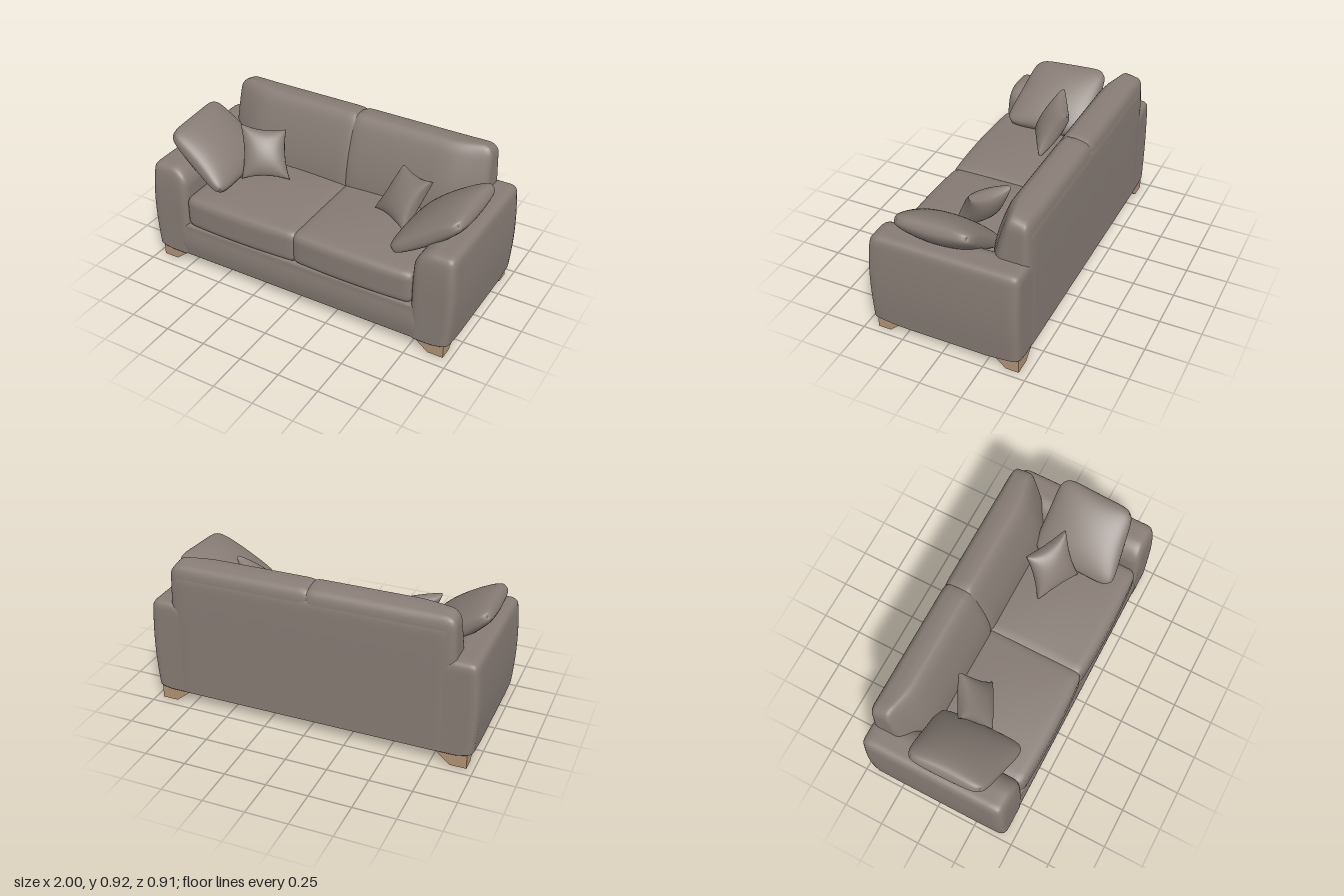
import * as THREE from 'three';
import { mergeVertices } from 'three/addons/utils/BufferGeometryUtils.js';

const clamp = THREE.MathUtils.clamp;
const smooth = THREE.MathUtils.smoothstep;

// Move every vertex by a rule, weld, and recompute smooth normals
function reshape(geo, rule) {
  const pos = geo.attributes.position, p = new THREE.Vector3();
  for (let i = 0; i < pos.count; i++) {
    p.fromBufferAttribute(pos, i);
    rule(p);
    pos.setXYZ(i, p.x, p.y, p.z);
  }
  geo.deleteAttribute('uv');
  geo.deleteAttribute('normal');
  const out = mergeVertices(geo, 1e-5);
  out.computeVertexNormals();
  return out;
}

// Upholstered block between two corners; rounded by r, optionally flat at the bottom
function softBox(min, max, r, { flatBottom = false, rule = () => {} } = {}) {
  const lo = new THREE.Vector3(...min), hi = new THREE.Vector3(...max);
  const size = hi.clone().sub(lo), mid = lo.clone().add(hi).multiplyScalar(0.5);
  const inLo = lo.clone().addScalar(r), inHi = hi.clone().addScalar(-r);
  if (flatBottom) inLo.y = lo.y;
  const n = 20, q = new THREE.Vector3(), d = new THREE.Vector3();
  return reshape(new THREE.BoxGeometry(2, 2, 2, n, n, n), (p) => {
    for (const k of ['x', 'y', 'z']) p[k] = mid[k] + Math.sin(p[k] * Math.PI / 2) * size[k] / 2;
    q.copy(p).clamp(inLo, inHi);
    d.copy(p).sub(q);
    const m = Math.max(Math.abs(d.x), Math.abs(d.y), Math.abs(d.z));
    if (m > 0) p.copy(q).addScaledVector(d.normalize(), m);
    rule(p);
  });
}

// Scatter cushion stretched between four corners
function pillow(corners, thickness, pinch, round) {
  const [a, b, c, e] = corners.map((v) => new THREE.Vector3(...v));
  const normal = b.clone().sub(a).cross(e.clone().sub(a)).normalize();
  const low = new THREE.Vector3(), high = new THREE.Vector3();
  return reshape(new THREE.BoxGeometry(2, 2, 2, 28, 28, 2), (p) => {
    const su = Math.sin(p.x * Math.PI / 2), sv = Math.sin(p.y * Math.PI / 2);
    const corner = 1 - round * Math.pow(su * sv, 6);
    const u = su * corner * (1 - pinch * (1 - sv * sv));
    const v = sv * corner * (1 - pinch * (1 - su * su));
    const puff = Math.pow((1 - su * su) * (1 - sv * sv), 0.42);
    low.lerpVectors(a, b, (u + 1) / 2);
    high.lerpVectors(e, c, (u + 1) / 2);
    const w = p.z * (0.006 + puff * thickness / 2);
    p.copy(low).lerp(high, (v + 1) / 2).addScaledVector(normal, w);
  });
}

// Copy reflected in x with the winding put right
function mirrored(geo) {
  const g = geo.clone().scale(-1, 1, 1), ix = g.index;
  for (let i = 0; i < ix.count; i += 3) {
    const t = ix.getX(i);
    ix.setX(i, ix.getX(i + 1));
    ix.setX(i + 1, t);
  }
  g.computeVertexNormals();
  return g;
}

// Corner foot with upright outer faces and sloping inner ones
function foot(xOut, zOut, zSign) {
  const g = new THREE.BoxGeometry(2, 2, 2, 1, 2, 1), pos = g.attributes.position;
  for (let i = 0; i < pos.count; i++) {
    const y = pos.getY(i);
    const wx = y < 0 ? 0.095 : 0.18, wz = y < 0 ? 0.077 : 0.152;
    const x = pos.getX(i) > 0 ? xOut : xOut - wx;
    const z = pos.getZ(i) * zSign > 0 ? zOut : zOut - zSign * wz;
    pos.setXYZ(i, x, y < 0 ? 0 : y > 0 ? 0.098 : 0.07, z);
  }
  g.computeVertexNormals();
  return g;
}

export function createModel() {
  const fabric = new THREE.MeshStandardMaterial({ color: 0x877c75 });
  fabric.name = 'taupe fabric';
  const wood = new THREE.MeshStandardMaterial({ color: 0xb19475 });
  wood.name = 'pale wood';

  const sofa = new THREE.Group();
  sofa.name = 'sofa';
  const add = (name, geo, mat) => {
    const mesh = new THREE.Mesh(geo, mat);
    mesh.name = name;
    sofa.add(mesh);
  };
  const pair = (name, geo, mat) => {
    add(name + 'Left', geo, mat);
    add(name + 'Right', mirrored(geo), mat);
  };

  // Base rail with a slight roll along the front
  add('base', softBox([-0.8, 0.078, -0.44], [0.8, 0.297, 0.44], 0.02, {
    flatBottom: true,
    rule: (p) => {
      if (p.z > 0.3) p.z += 0.01 * Math.sin(Math.PI * clamp((p.y - 0.08) / 0.18, 0, 1));
    },
  }), fabric);

  // Smooth back panel, easing forward at the top
  add('backPanel', softBox([-0.84, 0.078, -0.457], [0.84, 0.87, -0.32], 0.05, {
    flatBottom: true,
    rule: (p) => { p.z += 0.012 * clamp((p.y - 0.45) / 0.47, 0, 1) ** 4; },
  }), fabric);

  // Arms: bulging outer side, soft inner shoulder, top edge falling at the front
  pair('arm', softBox([0.745, 0.078, -0.455], [0.985, 0.665, 0.447], 0.045, {
    flatBottom: true,
    rule: (p) => {
      const t = clamp((p.y - 0.08) / 0.585, 0, 1);
      p.x += 0.016 * Math.sin(Math.PI * t) * smooth(p.x, 0.8, 0.98);
      p.z -= 0.025 * t ** 6 * smooth(p.z, 0.2, 0.44);
      p.y -= 0.075 * clamp((0.86 - p.x) / 0.115, 0, 1) ** 2 * t * t;
      p.y += 0.014 * (1 - t) ** 8 * smooth(Math.abs(p.z), 0.26, 0.42) * smooth(p.x, 0.88, 0.97);
    },
  }), fabric);

  // Seat cushions with a crowned top and bowed front
  pair('seatCushion', softBox([-0.02, 0.285, -0.25], [0.755, 0.495, 0.44], 0.05, {
    rule: (p) => {
      const u = (p.x - 0.37) / 0.39, w = (p.z - 0.1) / 0.35;
      const crown = Math.max(0, 1 - u * u);
      if (p.y > 0.4) p.y += 0.028 * crown * Math.max(0, 1 - w * w) * smooth(p.y, 0.4, 0.49);
      p.z += 0.016 * crown * smooth(p.z, 0.2, 0.44);
    },
  }), fabric);

  // Back cushions, thinning towards the top and rounded at the outer ends
  pair('backCushion', softBox([-0.03, 0.43, -0.455], [0.87, 0.924, -0.148], 0.065, {
    rule: (p) => {
      const t = clamp((p.y - 0.45) / 0.47, 0, 1);
      const end = 1 - 0.3 * smooth(p.x, 0.6, 0.91);
      p.z = -0.455 + (p.z + 0.455) * (1 - 0.45 * t * t) * end + 0.012 * t ** 4;
      p.x -= 0.022 * t * smooth(p.x, 0.6, 0.87);
      p.y -= 0.02 * t ** 4 * (1 - smooth(p.z, -0.45, -0.34));
    },
  }), fabric);

  // Large cushions draped over the arms
  pair('armPillow', pillow([
    [0.55, 0.525, 0.365], [0.95, 0.795, 0.3], [0.962, 0.815, -0.175], [0.572, 0.525, -0.185],
  ], 0.165, 0.02, 0.12), fabric);

  // Small cushions resting on the seat
  pair('smallPillow', pillow([
    [0.55, 0.525, 0.135], [0.295, 0.525, 0], [0.40, 0.775, -0.135], [0.64, 0.81, -0.005],
  ], 0.13, 0.13, 0), fabric);

  // Feet
  pair('frontFoot', foot(0.958, 0.427, 1), wood);
  pair('backFoot', foot(0.958, -0.446, -1), wood);

  return sofa;
}
